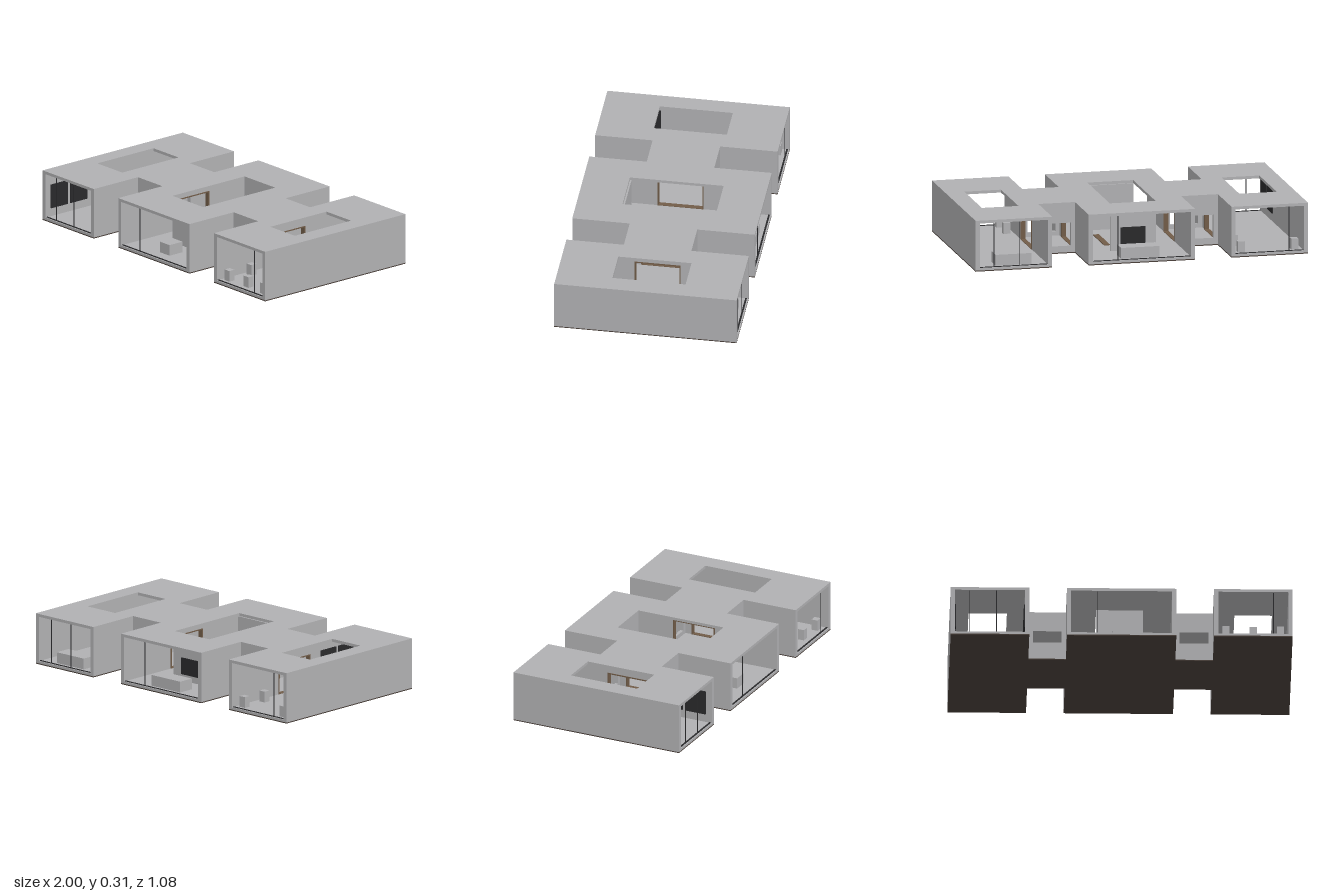
import * as THREE from 'three';

const material = (name, color) => {
  const m = new THREE.MeshStandardMaterial({ color });
  m.name = name;
  return m;
};

export function createModel() {
  const group = new THREE.Group();
  const grey = material('plaster grey', 0xb0b0b2);
  const dark = material('foundation brown', 0x4a403a);
  const wood = material('wood brown', 0x715c48);
  const black = material('panel black', 0x29292b);

  // Box given by its limits on each axis
  function box(name, mat, x0, x1, y0, y1, z0, z1) {
    const mesh = new THREE.Mesh(new THREE.BoxGeometry(x1 - x0, y1 - y0, z1 - z0), mat);
    mesh.position.set((x0 + x1) / 2, (y0 + y1) / 2, (z0 + z1) / 2);
    mesh.name = name;
    group.add(mesh);
  }
  // Same box on the left or right half (s = 1 or -1)
  const sided = (s, name, mat, x0, x1, ...rest) =>
    box(name, mat, Math.min(s * x0, s * x1), Math.max(s * x0, s * x1), ...rest);

  // Slab over the whole plan: three wings joined by two passages
  const D = 0.54, P = 0.2;
  const half = [[0.32, D], [0.32, P], [0.54, P], [0.54, D], [1, D]];
  const right = [...half, ...half.map(([x, z]) => [x, -z]).reverse()];
  const outline = [...right, ...right.map(([x, z]) => [-x, -z])];
  function slab(name, mat, y0, y1, holes = []) {
    const shape = new THREE.Shape(outline.map(([x, z]) => new THREE.Vector2(x, -z)));
    for (const [x0, x1, z0, z1] of holes) {
      shape.holes.push(new THREE.Path([[x0, -z0], [x1, -z0], [x1, -z1], [x0, -z1]]
        .map(([x, y]) => new THREE.Vector2(x, y))));
    }
    const geo = new THREE.ExtrudeGeometry(shape, { depth: y1 - y0, bevelEnabled: false });
    geo.rotateX(-Math.PI / 2).translate(0, y0, 0);
    const mesh = new THREE.Mesh(geo, mat);
    mesh.name = name;
    group.add(mesh);
  }
  const F = 0.02, C = 0.288, H = 0.305;
  slab('foundation', dark, 0, 0.006);
  slab('floor', grey, 0.006, F);
  slab('roof', grey, C, H, [
    [-0.89, -0.665, -0.22, 0.213],
    [-0.145, 0.13, -0.283, 0.272],
    [0.665, 0.885, -0.22, 0.213],
  ]);

  const Z0 = -0.14, Z1 = 0.133, doorTop = 0.21;
  for (const s of [-1, 1]) {
    sided(s, 'outerWall', grey, 0.975, 1, F, C, -D, D);

    // Inner walls with a framed doorway to the passage
    for (const [a, b] of [[0.295, 0.32], [0.54, 0.565]]) {
      sided(s, 'innerWall', grey, a, b, F, C, -D, Z0);
      sided(s, 'innerWall', grey, a, b, F, C, Z1, D);
      sided(s, 'doorLintel', grey, a, b, doorTop, C, Z0, Z1);
      const f0 = a - 0.002, f1 = b + 0.002;
      sided(s, 'doorJamb', wood, f0, f1, F, doorTop, Z0, Z0 + 0.007);
      sided(s, 'doorJamb', wood, f0, f1, F, doorTop, Z1 - 0.007, Z1);
      sided(s, 'doorHead', wood, f0, f1, doorTop - 0.007, doorTop, Z0 + 0.007, Z1 - 0.007);
      sided(s, 'doorThreshold', wood, f0, f1, F, F + 0.003, Z0 + 0.007, Z1 - 0.007);
    }

    // Passage walls with a window on each side
    for (const [z0, z1] of [[-P, -P + 0.02], [P - 0.02, P]]) {
      sided(s, 'passageWall', grey, 0.32, 0.54, F, 0.045, z0, z1);
      sided(s, 'passageWall', grey, 0.32, 0.54, 0.183, C, z0, z1);
      sided(s, 'passageWall', grey, 0.32, 0.345, 0.045, 0.183, z0, z1);
      sided(s, 'passageWall', grey, 0.513, 0.54, 0.045, 0.183, z0, z1);
    }

    // Dark sliding tracks at the open wing ends
    const z = s * 0.528;
    for (const [a, b] of [[-0.975, -0.565], [-0.295, 0.295], [0.565, 0.975]]) {
      box('slidingTrack', black, a, b, F, F + 0.003, z - 0.005, z + 0.005);
    }
    // Slim mullions, turned half round from front to back
    for (const x of [-0.888, -0.732, -0.14, 0.888]) {
      box('mullion', black, s * x - 0.002, s * x + 0.002, F, C, z - 0.002, z + 0.002);
    }
  }

  // Partitions on either side of the central skylight
  box('frontPartition', grey, -0.145, 0.13, F, C, 0.262, 0.272);
  box('backPartition', grey, -0.145, 0.13, F, C, -0.293, -0.283);
  box('screen', black, -0.08, 0.067, 0.06, 0.16, -0.299, -0.293);

  // Floor strips under the central skylight
  box('darkFloorStrip', black, -0.14, -0.105, F, F + 0.005, Z0, Z1);
  box('woodFloorStrip', wood, 0.095, 0.13, F, F + 0.005, Z0, Z1);

  // Wall panels in the right-hand side wing
  for (const [z0, z1] of [[0.22, 0.35], [0.37, 0.5]]) {
    box('wallPanel', black, -0.975, -0.969, 0.07, 0.215, z0, z1);
    box('wallPanel', black, -0.571, -0.565, 0.07, 0.215, z0, z1);
  }

  // Stools
  const stools = [[0.61, 0.48], [0.61, 0.31], [0.77, 0.47], [0.93, 0.48],
    [-0.61, -0.48], [-0.61, -0.31], [-0.93, -0.48]];
  for (const [x, z] of stools) {
    box('stool', grey, x - 0.021, x + 0.021, F, 0.085, z - 0.02, z + 0.02);
  }

  // Block seats
  box('deskBlock', grey, -0.05, 0.036, F, 0.085, 0.35, 0.45);
  box('backSofa', grey, -0.115, 0.115, F, 0.085, -0.5, -0.4);
  box('sideSofa', grey, 0.655, 0.87, F, 0.085, -0.5, -0.4);

  return group;
}
